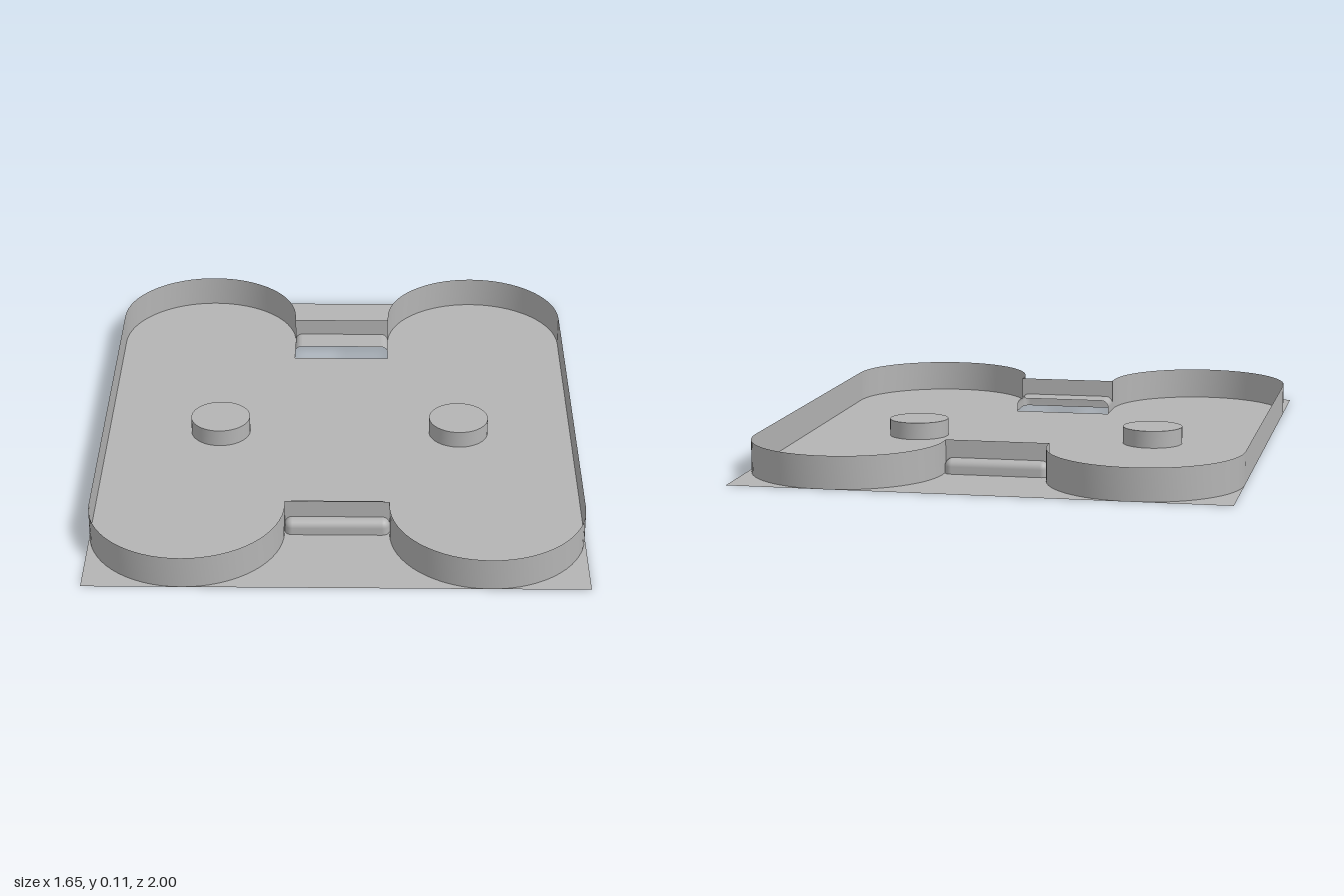
import * as THREE from 'three';
import { toCreasedNormals } from 'three/addons/utils/BufferGeometryUtils.js';

const HALF_W = 0.825, WALL_H = 0.11;
const LOBE_X = 0.5, LOBE_Z = 0.675, LOBE_R = 0.325;
const NOTCH_X = 0.175, NOTCH_Z = 0.65;
const HOOD_IN = 0.55, HOOD_OUT = 0.685, HOOD_H = 0.05, FILLET = 0.025;

// Skin a list of equal-length rows of [x, y, z] points
function skin(rows) {
  const n = rows[0].length, index = [];
  for (let i = 0; i < rows.length - 1; i++) {
    for (let j = 0; j < n - 1; j++) {
      const a = i * n + j, b = a + 1, c = a + n, d = c + 1;
      index.push(a, b, d, a, d, c);
    }
  }
  const g = new THREE.BufferGeometry();
  g.setAttribute('position', new THREE.Float32BufferAttribute(rows.flat(2), 3));
  g.setIndex(index);
  g.computeVertexNormals();
  return g;
}

// Plan outline of a hood, open on the inner side: +x end, outer side, -x end
function hoodPlan(inset) {
  const pts = [[NOTCH_X - inset, HOOD_IN]];
  const r = FILLET - inset;
  for (const start of [0, Math.PI / 2]) {
    const cx = (start === 0 ? 1 : -1) * (NOTCH_X - FILLET);
    for (let k = 0; k <= 6; k++) {
      const a = start + (k / 6) * Math.PI / 2;
      pts.push([cx + r * Math.cos(a), HOOD_OUT - FILLET + r * Math.sin(a)]);
    }
  }
  pts.push([-NOTCH_X + inset, HOOD_IN]);
  return pts;
}

// Hood sides with a filleted upper edge
function hoodShell() {
  const levels = [[0, 0]];
  for (let k = 0; k <= 6; k++) {
    const a = (k / 6) * Math.PI / 2;
    levels.push([HOOD_H - FILLET + FILLET * Math.sin(a), FILLET * (1 - Math.cos(a))]);
  }
  return skin(levels.map(([y, d]) => hoodPlan(d).map(([x, z]) => [x, y, z])).reverse());
}

// One long side wall with its two round lobes and the notch sides
function sideWall() {
  const path = [[NOTCH_X, NOTCH_Z]];
  for (let k = 0; k <= 32; k++) {
    const a = Math.PI * (1 - k / 32);
    path.push([LOBE_X + LOBE_R * Math.cos(a), LOBE_Z + LOBE_R * Math.sin(a)]);
  }
  const back = path.map(([x, z]) => [x, -z]).reverse();
  const full = path.concat(back);
  return skin([WALL_H, 0].map((y) => full.map(([x, z]) => [x, y, z])));
}

// Wall across a notch, cut to fit over the hood
function notchWall() {
  const s = new THREE.Shape();
  const y = HOOD_H - FILLET, x = NOTCH_X - FILLET;
  s.moveTo(-NOTCH_X, WALL_H);
  s.lineTo(NOTCH_X, WALL_H);
  s.lineTo(NOTCH_X, y);
  s.absarc(x, y, FILLET, 0, Math.PI / 2, false);
  s.absarc(-x, y, FILLET, Math.PI / 2, Math.PI, false);
  s.closePath();
  return new THREE.ShapeGeometry(s).translate(0, 0, NOTCH_Z);
}

// Flat sheet with a slot under each hood
function baseSheet() {
  const s = new THREE.Shape([
    [-HALF_W, -1], [HALF_W, -1], [HALF_W, 1], [-HALF_W, 1],
  ].map(([x, y]) => new THREE.Vector2(x, y)));
  for (const side of [1, -1]) {
    s.holes.push(new THREE.Path(hoodPlan(0).map(([x, z]) => new THREE.Vector2(x, z * side))));
  }
  return new THREE.ShapeGeometry(s).rotateX(-Math.PI / 2);
}

export function createModel() {
  const model = new THREE.Group();
  model.name = 'tray';
  const grey = new THREE.MeshStandardMaterial({ color: 0xb4b4b4, side: THREE.DoubleSide });
  grey.name = 'grey';

  const add = (name, geometry, parent = model) => {
    const mesh = new THREE.Mesh(geometry, grey);
    mesh.name = name;
    parent.add(mesh);
    return mesh;
  };

  add('baseSheet', baseSheet());

  // Everything else repeats after a half turn
  const wall = sideWall(), shell = hoodShell(), cross = notchWall();
  const hoodTop = new THREE.PlaneGeometry(2 * (NOTCH_X - FILLET), HOOD_OUT - FILLET - HOOD_IN)
    .rotateX(-Math.PI / 2)
    .translate(0, HOOD_H, (HOOD_OUT - FILLET + HOOD_IN) / 2);
  const peg = toCreasedNormals(
    new THREE.CylinderGeometry(0.105, 0.105, 0.06, 48, 1, true), 0.6);
  const pegTop = new THREE.CircleGeometry(0.105, 48).rotateX(-Math.PI / 2);

  for (const [name, turn] of [['left', 0], ['right', Math.PI]]) {
    const half = new THREE.Group();
    half.name = name + 'Half';
    half.rotation.y = turn;
    model.add(half);
    add('sideWall', wall, half);
    add('notchWall', cross, half);
    add('hoodSides', shell, half);
    add('hoodTop', hoodTop, half);
    add('pegSide', peg, half).position.set(0.425, 0.03, 0);
    add('pegTop', pegTop, half).position.set(0.425, 0.06, 0);
  }
  return model;
}
